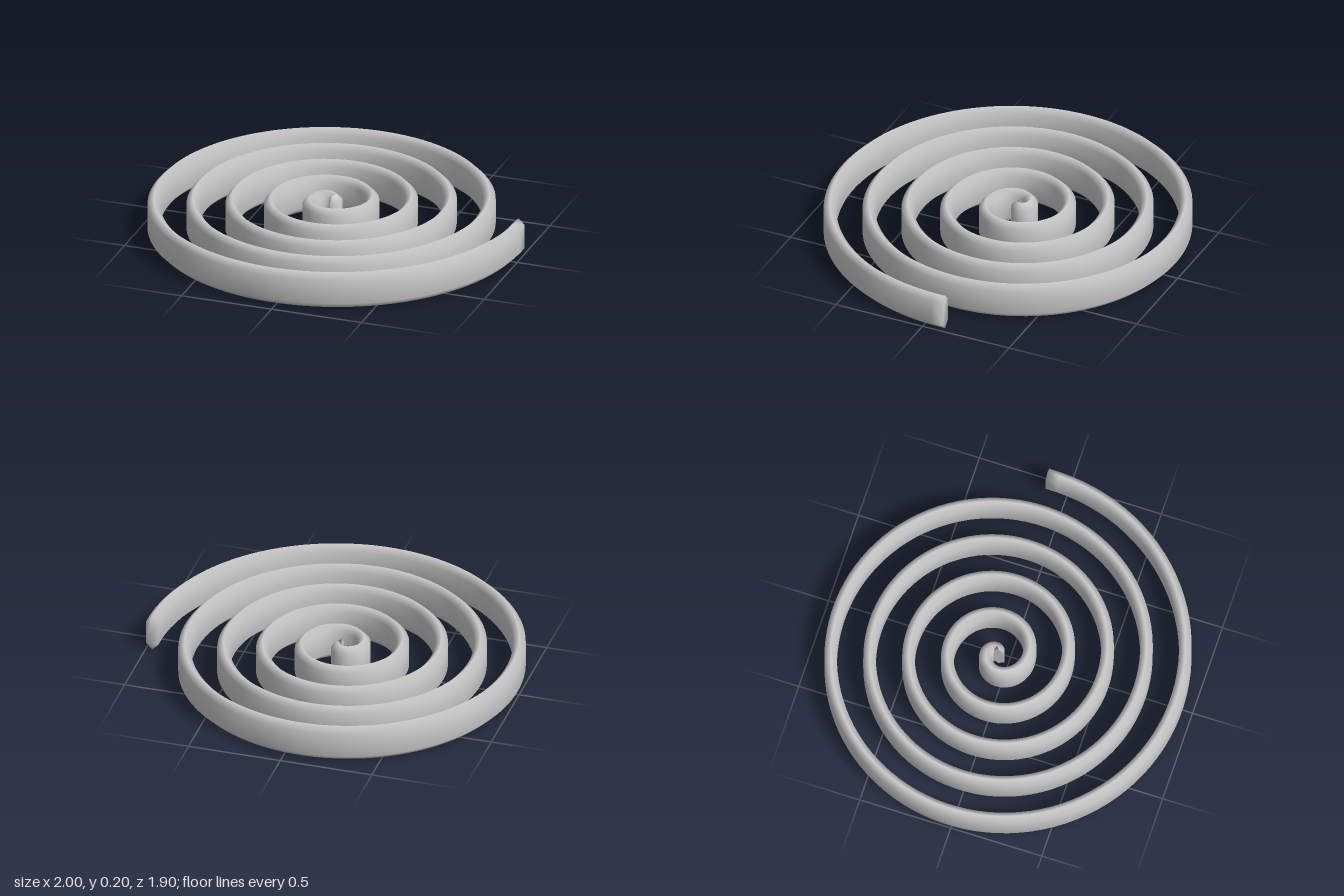
import * as THREE from 'three';

// Sweeps an upright six-sided section along a flat Archimedean spiral
function spiralStrip({ growth, endAngle, steps, cx, cz, halfWidth, height, chamfer }) {
  const section = [
    [halfWidth, chamfer], [halfWidth, height - chamfer], [0, height],
    [-halfWidth, height - chamfer], [-halfWidth, chamfer], [0, 0],
  ];
  const n = section.length;
  const positions = [];
  const index = [];

  for (let i = 0; i <= steps; i++) {
    const a = (endAngle * i) / steps;
    const r = growth * a;
    const c = Math.cos(a);
    const s = Math.sin(a);
    // path direction, and the sideways direction pointing outward
    const tangent = new THREE.Vector2(growth * c - r * s, -(growth * s + r * c)).normalize();
    const outX = -tangent.y;
    const outZ = tangent.x;
    for (const [w, y] of section) {
      positions.push(cx + r * c + outX * w, y, cz - r * s + outZ * w);
    }
    if (i === steps) break;
    for (let j = 0; j < n; j++) {
      const p = i * n + j;
      const q = i * n + ((j + 1) % n);
      index.push(p, p + n, q, q, p + n, q + n);
    }
  }

  // end caps
  const last = steps * n;
  for (let j = 1; j < n - 1; j++) {
    index.push(0, j, j + 1);
    index.push(last, last + j + 1, last + j);
  }

  const geometry = new THREE.BufferGeometry();
  geometry.setAttribute('position', new THREE.Float32BufferAttribute(positions, 3));
  geometry.setIndex(index);
  geometry.computeVertexNormals();
  return geometry;
}

export function createModel() {
  const group = new THREE.Group();
  group.name = 'spiral';

  // five turns, plus one short step at the outer end
  const coil = new THREE.Mesh(
    spiralStrip({
      growth: 0.03237,
      endAngle: Math.PI * 10 + 0.063,
      steps: 501,
      cx: -0.051,
      cz: -0.051,
      halfWidth: 0.033,
      height: 0.2,
      chamfer: 0.033,
    }),
    new THREE.MeshStandardMaterial({ color: 0xcccccc })
  );
  coil.name = 'spiralCoil';
  group.add(coil);
  return group;
}
